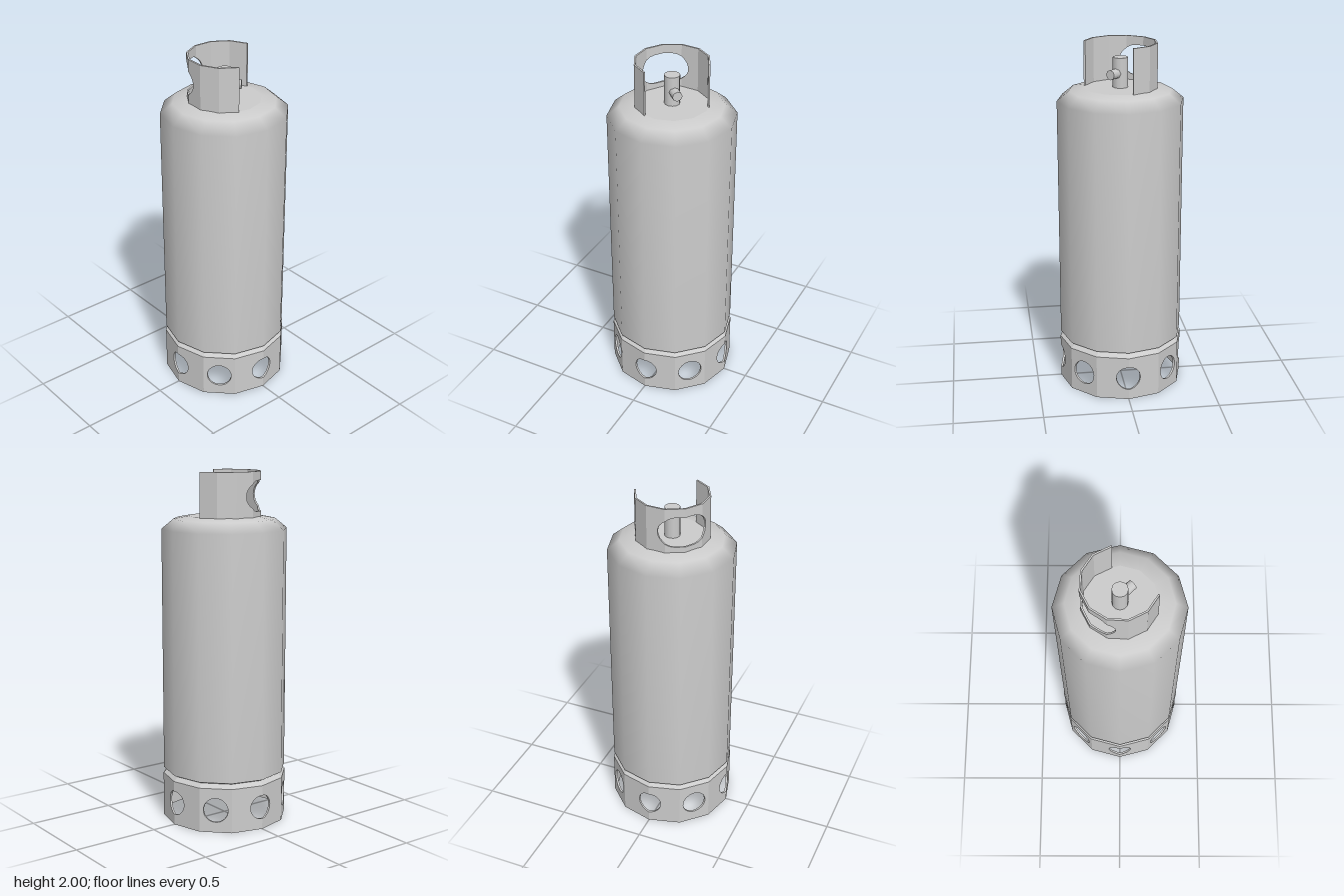
import * as THREE from 'three';

const SIDES = 12;
const STEP = 360 / SIDES;
const rad = THREE.MathUtils.degToRad;

function addMesh(group, name, geometry, options = {}) {
  const mesh = new THREE.Mesh(geometry, new THREE.MeshStandardMaterial({ color: 0xcccccc, ...options }));
  mesh.name = name;
  group.add(mesh);
  return mesh;
}

// Twelve-sided turned part from [radius, height] points
function turned(points) {
  return new THREE.LatheGeometry(points.map(([r, y]) => new THREE.Vector2(r, y)), SIDES);
}

// Thin faceted wall with rounded holes, built as a strip below and a strip above the holes
function wall({ radius, thickness, y0, y1, start, panels, holeY, holeAngles, holeSpan, holeRadius }) {
  const end = start + panels * STEP;
  const apothem = radius * Math.cos(rad(STEP / 2));
  const polygonRadius = (a) => {
    const local = (((a - start) % STEP) + STEP) % STEP;
    return apothem / Math.cos(rad(local - STEP / 2));
  };

  // Half height of the opening at an angle: a circle or a slot with round ends
  const opening = (a) => {
    const hole = holeAngles.find((h) => Math.abs(a - h) < holeSpan - 0.01);
    if (hole === undefined) return 0;
    const half = polygonRadius(hole + holeSpan) * Math.sin(rad(holeSpan));
    const r = Math.min(holeRadius, half);
    const u = polygonRadius(a) * Math.abs(Math.sin(rad(a - hole)));
    const past = Math.max(0, u - (half - r));
    return Math.sqrt(Math.max(0, r * r - past * past));
  };

  // Angles at the corners and across every hole
  const angles = [];
  for (let i = 0; i <= panels; i++) angles.push(start + i * STEP);
  for (const h of holeAngles) {
    for (let k = 0; k <= 16; k++) angles.push(h + holeSpan * Math.cos((k * Math.PI) / 16));
  }
  const columns = angles
    .filter((a) => a > start - 0.01 && a < end + 0.01)
    .sort((a, b) => a - b)
    .filter((a, i, all) => i === 0 || a - all[i - 1] > 0.01);

  const positions = [];
  const quad = (a, b, c, d) => [a, b, c, a, c, d].forEach((p) => positions.push(...p));
  const section = (a, low, high) => {
    const outer = polygonRadius(a);
    const inner = (outer * (radius - thickness)) / radius;
    const at = (r, y) => [r * Math.cos(rad(a)), y, r * Math.sin(rad(a))];
    return [at(outer, low), at(outer, high), at(inner, high), at(inner, low)];
  };

  for (const upper of [false, true]) {
    const sections = columns.map((a) => (upper
      ? section(a, holeY + opening(a), y1)
      : section(a, y0, holeY - opening(a))));
    for (let i = 0; i < columns.length - 1; i++) {
      const a = sections[i];
      const b = sections[i + 1];
      const closed = opening(columns[i]) + opening(columns[i + 1]) === 0;
      for (let e = 0; e < 4; e++) {
        if (closed && e === (upper ? 3 : 1)) continue;
        const n = (e + 1) % 4;
        quad(b[e], a[e], a[n], b[n]);
      }
    }
    if (panels < SIDES) {
      const s = sections[0];
      const t = sections[sections.length - 1];
      quad(s[0], s[3], s[2], s[1]);
      quad(t[0], t[1], t[2], t[3]);
    }
  }
  const geometry = new THREE.BufferGeometry();
  geometry.setAttribute('position', new THREE.Float32BufferAttribute(positions, 3));
  geometry.computeVertexNormals();
  return geometry;
}

export function createModel() {
  const model = new THREE.Group();
  model.name = 'gasCylinder';

  // Tank
  const tank = new THREE.Group();
  tank.name = 'tank';
  model.add(tank);
  addMesh(tank, 'tankShell', turned([[0.355, 0.29], [0.355, 1.68], [0.288, 1.735], [0.205, 1.75]]));
  addMesh(tank, 'tankTop', turned([[0.205, 1.75], [0, 1.75]]));
  addMesh(tank, 'tankLowerEdge', turned([[0.333, 0.28], [0.355, 0.29]]), { flatShading: true });
  addMesh(tank, 'tankBottom', turned([[0, 0.255], [0.346, 0.255]]));

  // Foot ring with eight round holes
  const foot = new THREE.Group();
  foot.name = 'footRing';
  model.add(foot);
  addMesh(foot, 'footWall', wall({
    radius: 0.358, thickness: 0.012, y0: 0, y1: 0.257, start: 0, panels: SIDES,
    holeY: 0.13, holeAngles: [0, 45, 90, 135, 180, 225, 270, 315, 360], holeSpan: 11.5, holeRadius: 0.07,
  }));
  addMesh(foot, 'footBevel', turned([[0.358, 0.257], [0.333, 0.28]]), { flatShading: true });

  // Open collar with a hand slot
  addMesh(model, 'collar', wall({
    radius: 0.207, thickness: 0.01, y0: 1.745, y1: 2, start: 18, panels: 8,
    holeY: 1.865, holeAngles: [138], holeSpan: 42, holeRadius: 0.085,
  }));

  // Valve and its outlet
  const valve = new THREE.Group();
  valve.name = 'valve';
  model.add(valve);
  const stem = addMesh(valve, 'valveStem', new THREE.CylinderGeometry(0.043, 0.043, 0.17, SIDES));
  stem.position.y = 1.832;
  const outlet = addMesh(valve, 'valveOutlet',
    new THREE.CylinderGeometry(0.028, 0.028, 0.092, 8).rotateZ(-Math.PI / 2).translate(0.046, 0, 0));
  outlet.position.y = 1.83;
  outlet.rotation.y = Math.PI / 4;

  return model;
}
